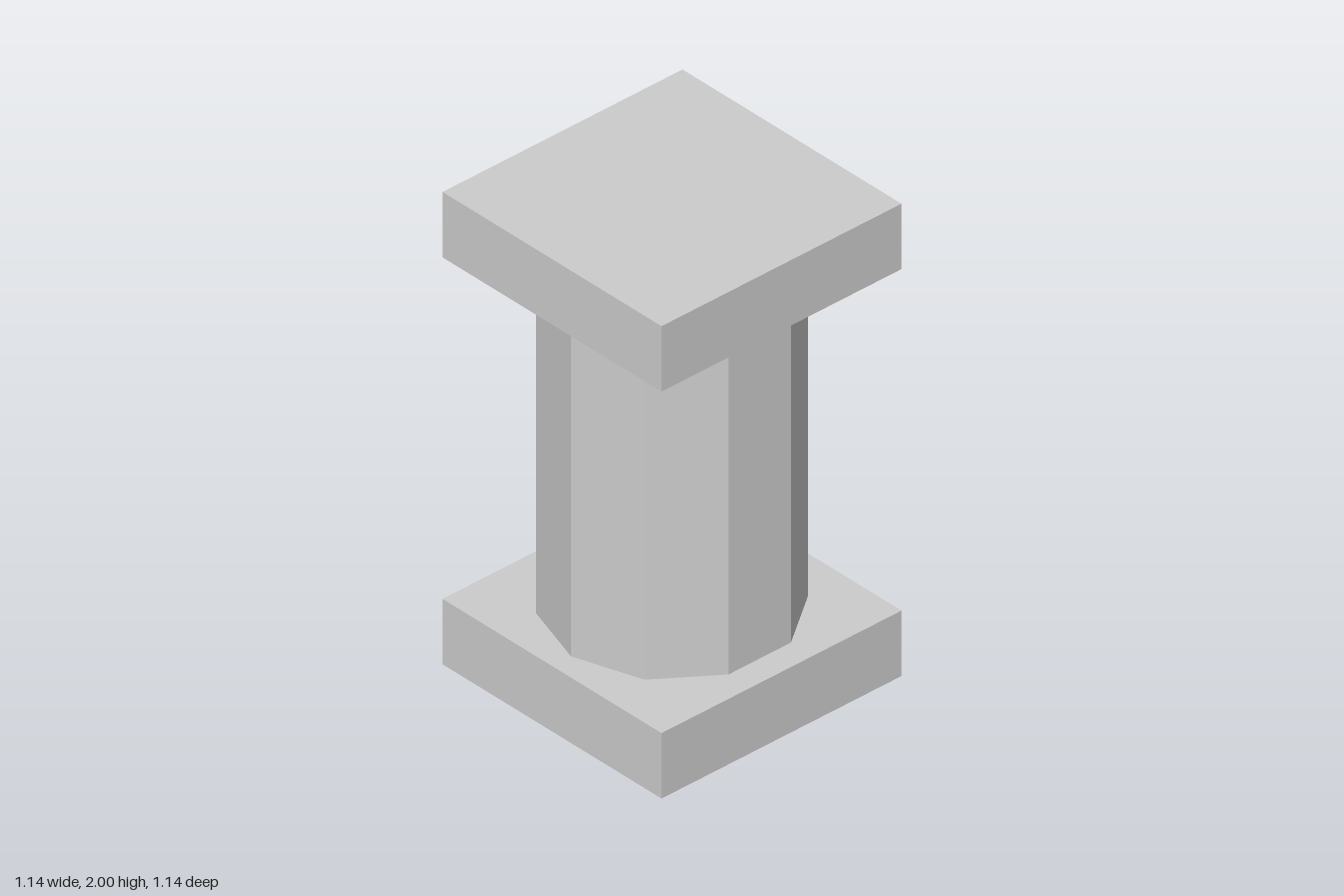
import * as THREE from 'three';

const WIDTH = 1.14, SLAB = 0.277, HEIGHT = 2, RADIUS = 0.48;

export function createModel() {
  const model = new THREE.Group();
  model.name = 'pillar';
  const stone = new THREE.MeshStandardMaterial({ color: 0xcccccc, flatShading: true });

  const add = (name, geometry, y) => {
    const mesh = new THREE.Mesh(geometry, stone);
    mesh.name = name;
    mesh.position.y = y;
    model.add(mesh);
  };

  // Matching square slabs at the bottom and top
  const slab = new THREE.BoxGeometry(WIDTH, SLAB, WIDTH);
  add('base', slab, SLAB / 2);
  add('capital', slab, HEIGHT - SLAB / 2);

  // Ten-sided shaft with a corner facing the front, closed by the slabs
  const shaft = new THREE.CylinderGeometry(RADIUS, RADIUS, HEIGHT - 2 * SLAB, 10, 1, true);
  add('shaft', shaft, HEIGHT / 2);

  return model;
}
